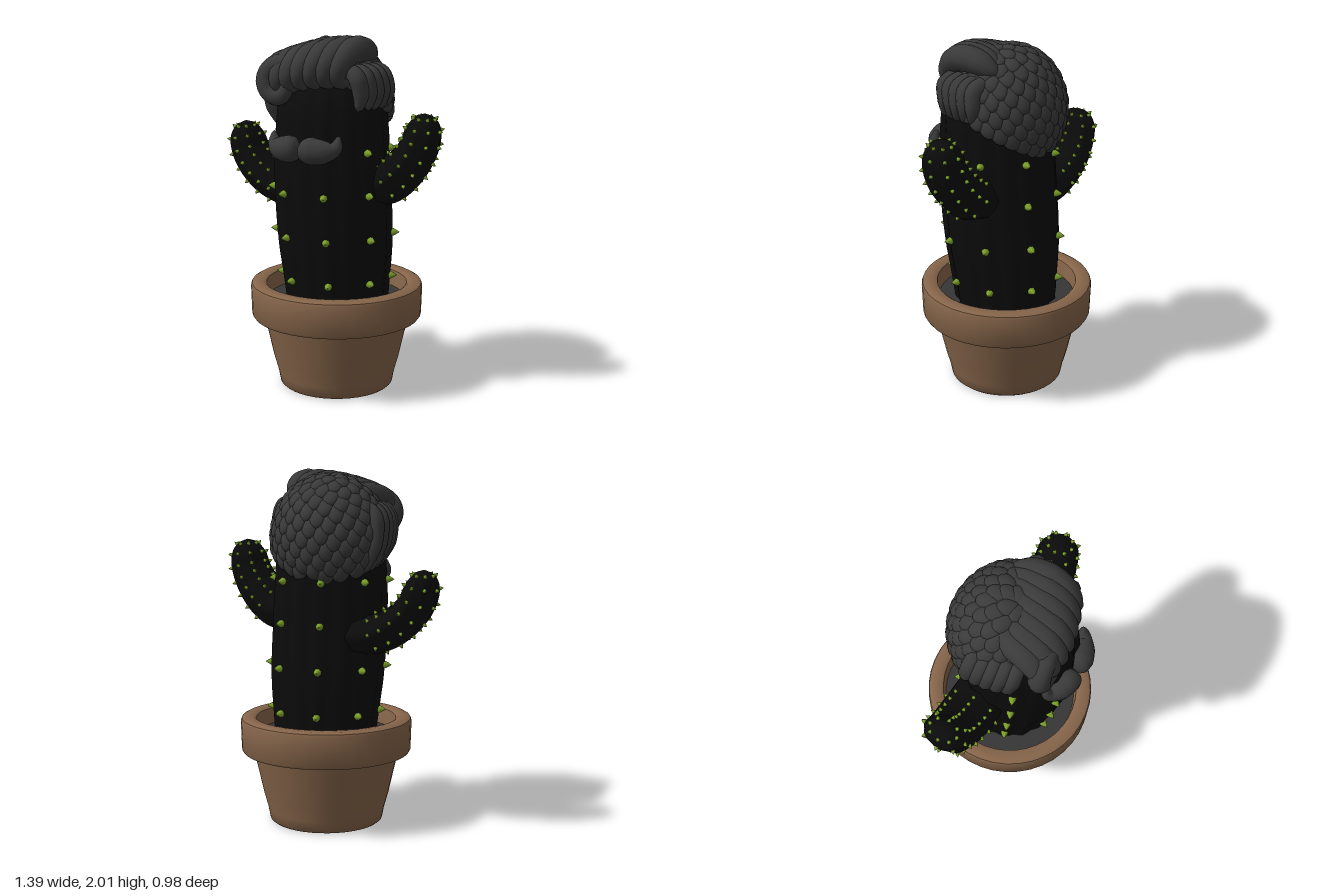
import * as THREE from 'three';
import { mergeGeometries, mergeVertices, toCreasedNormals } from 'three/addons/utils/BufferGeometryUtils.js';

const V = (x, y, z) => new THREE.Vector3(x, y, z);
const paint = (color) => new THREE.MeshStandardMaterial({ color });
const skin = paint(0x0b0b0b), hairMat = paint(0x3a3a3a), clay = paint(0x86654a);
const green = paint(0x7da32a), soilMat = paint(0x363636);
const CX = 0.04; // x of the trunk axis

function add(parent, name, geometry, material) {
  const mesh = new THREE.Mesh(geometry, material);
  mesh.name = name;
  parent.add(mesh);
  return mesh;
}

// Weld seams so that normals are smooth all round
function smooth(geometry) {
  geometry.deleteAttribute('uv');
  geometry.deleteAttribute('normal');
  const welded = mergeVertices(geometry, 1e-4);
  welded.computeVertexNormals();
  return welded;
}

// Piecewise linear interpolation of evenly spaced values
function ramp(values, t) {
  const f = t * (values.length - 1), i = Math.min(Math.floor(f), values.length - 2);
  return THREE.MathUtils.lerp(values[i], values[i + 1], f - i);
}

const lathe = (pairs, n) => new THREE.LatheGeometry(pairs.map(([r, y]) => new THREE.Vector2(r, y)), n);

// Tube with varying radius, round ends, optional ribs and z stretch
function sweep(points, radii, { segs = 20, sides = 10, cap0 = 0.12, cap1 = 0.12, ribs = 0, zScale = 1 } = {}) {
  const curve = new THREE.CatmullRomCurve3(points.map((p) => V(...p)));
  const geo = new THREE.TubeGeometry(curve, segs, 1, sides), pos = geo.attributes.position;
  for (let i = 0; i <= segs; i++) {
    const u = i / segs, c = curve.getPointAt(u);
    let r = ramp(radii, u);
    if (u < cap0) r *= Math.sqrt(1 - ((cap0 - u) / cap0) ** 2);
    if (u > 1 - cap1) r *= Math.sqrt(Math.max(0, 1 - ((u - 1 + cap1) / cap1) ** 2));
    for (let j = 0; j <= sides; j++) {
      const k = i * (sides + 1) + j;
      const d = V().fromBufferAttribute(pos, k).sub(c);
      d.multiplyScalar(r * (1 + (ribs ? 0.035 * Math.cos((j / sides) * ribs * Math.PI * 2) : 0)));
      pos.setXYZ(k, c.x + d.x, c.y + d.y, c.z + d.z * zScale);
    }
  }
  geo.computeVertexNormals();
  return geo;
}

// Small bulbous thorn pointing along a normal
const thorn = lathe([[0, -0.02], [0.022, -0.012], [0.022, 0.006], [0.012, 0.024], [0, 0.042]], 7);
function thornAt(p, normal, size) {
  const q = new THREE.Quaternion().setFromUnitVectors(V(0, 1, 0), normal);
  return thorn.clone().applyMatrix4(new THREE.Matrix4().compose(p, q, V(size, size, size)));
}

function buildPot(group) {
  const pot = new THREE.Group();
  pot.name = 'pot';
  pot.position.x = 0.035;
  group.add(pot);
  const shell = lathe([[0, 0], [0.31, 0], [0.324, 0.012], [0.335, 0.07], [0.36, 0.16], [0.415, 0.405], [0.475, 0.405],
    [0.485, 0.42], [0.49, 0.585], [0.484, 0.6], [0.465, 0.61], [0.415, 0.61], [0.4, 0.6], [0.385, 0.48]], 40);
  add(pot, 'potShell', toCreasedNormals(shell, 0.7), clay);
  const soil = add(pot, 'soil', new THREE.CircleGeometry(0.392, 40), soilMat);
  soil.rotation.x = -Math.PI / 2;
  soil.position.y = 0.51;
}

// Trunk leans gently forward with height
const trunkZ = (y) => ramp([0.0, 0.012, 0.03, 0.05, 0.06, 0.06, 0.055], THREE.MathUtils.clamp((y - 0.5) / 1.3, 0, 1));
const trunkR = (y) => ramp([0.285, 0.3, 0.316, 0.322, 0.322, 0.32, 0.312, 0.3], THREE.MathUtils.clamp((y - 0.5) / 1.1, 0, 1));

function buildTrunk(group, thorns) {
  const profile = [];
  for (let i = 0; i <= 22; i++) profile.push([trunkR(0.5 + i * 0.05), 0.5 + i * 0.05]);
  profile.push([0.28, 1.67], [0.245, 1.73], [0.19, 1.79], [0.11, 1.83], [0, 1.845]);
  const geo = lathe(profile, 64), p = geo.attributes.position;
  for (let i = 0; i < p.count; i++) {
    const x = p.getX(i), y = p.getY(i), z = p.getZ(i);
    const k = 1 + 0.025 * Math.cos(16 * Math.atan2(x, z));
    p.setXYZ(i, x * k + CX, y, z * k + trunkZ(y));
  }
  add(group, 'trunk', smooth(geo), skin);
  for (const y of [0.65, 0.905, 1.155, 1.39]) {
    for (let k = 0; k < 8; k++) {
      const a = (k + 0.5) * Math.PI / 4, n = V(Math.sin(a), 0, Math.cos(a));
      thorns.push(thornAt(n.clone().multiplyScalar(trunkR(y) + 0.006).add(V(CX, y, trunkZ(y))), n, 1));
    }
  }
}

function buildArm(group, name, points, radii, zScale, thorns) {
  const segs = 44, sides = 32;
  const geo = sweep(points, radii, { segs, sides, cap0: 0.02, cap1: 0.2, ribs: 8, zScale });
  const pos = geo.attributes.position, nor = geo.attributes.normal;
  for (const i of [13, 18, 23, 28, 33, 38, 42]) {
    for (let j = 0; j < sides; j += 4) {
      const k = i * (sides + 1) + j;
      thorns.push(thornAt(V().fromBufferAttribute(pos, k), V().fromBufferAttribute(nor, k).normalize(), 0.5));
    }
  }
  add(group, name, smooth(geo), skin);
}

function buildMoustache(group) {
  for (const s of [-1, 1]) {
    const path = [[0, 1.425, 0.385], [0.07, 1.412, 0.385], [0.14, 1.41, 0.365], [0.19, 1.43, 0.34], [0.205, 1.495, 0.325]];
    const geo = sweep(path.map(([x, y, z]) => [CX + s * x, y, z]), [0.058, 0.074, 0.066, 0.04, 0.008],
      { segs: 28, sides: 16, cap0: 0.15, cap1: 0.03 });
    add(group, s > 0 ? 'moustacheLeft' : 'moustacheRight', smooth(geo), hairMat);
  }
}

function buildHair(group) {
  const hair = new THREE.Group();
  hair.name = 'hair';
  group.add(hair);
  const centre = V(0.01, 1.62, 0.0), radii = V(0.315, 0.335, 0.28);
  const axis = V(-0.15, 0.86, -0.48).normalize();

  // Base cap, tilted back so the face stays free
  const cap = new THREE.SphereGeometry(1, 40, 20, 0, Math.PI * 2, 0, Math.PI * 0.52);
  cap.applyQuaternion(new THREE.Quaternion().setFromUnitVectors(V(0, 1, 0), axis));
  cap.scale(...radii.toArray()).translate(...centre.toArray());
  const capMesh = add(hair, 'hairCap', smooth(cap), hairMat);
  capMesh.material = hairMat.clone();
  capMesh.material.side = THREE.DoubleSide;

  // Overlapping tufts spread in a spiral, each lying down from the crown
  const tufts = [], total = 270, crown = V(0.05, 0.9, 0.4).normalize();
  for (let i = 0; i < total; i++) {
    const y = 1 - (2 * i + 1) / total, r = Math.sqrt(1 - y * y), a = i * 2.39996;
    const d = V(r * Math.cos(a), y, r * Math.sin(a));
    if (d.dot(axis) < -0.04) continue;
    const n = d.clone().divide(radii).normalize();
    const down = crown.clone().multiplyScalar(-1).addScaledVector(n, crown.dot(n)).normalize();
    const out = n.clone().addScaledVector(down, -0.22).normalize();
    const along = down.addScaledVector(out, -down.dot(out)).normalize();
    const m = new THREE.Matrix4().makeBasis(V().crossVectors(along, out), along, out);
    m.setPosition(d.multiply(radii).add(centre));
    tufts.push(new THREE.SphereGeometry(1, 12, 8).scale(0.052, 0.07, 0.034).applyMatrix4(m));
  }
  add(hair, 'tufts', mergeGeometries(tufts), hairMat);

  // Quiff: strands swept forward and rolled under, larger to one side
  for (let i = 0; i < 7; i++) {
    const t = i / 6, x = 0.22 - 0.4 * t, drop = 0.07 * t * t, fwd = 0.07 * Math.sin(t * 2.4);
    add(hair, 'quiffStrand', smooth(sweep([
      [x * 0.6 + 0.08, 1.87, -0.1], [x * 0.9 + 0.03, 1.93 - drop, 0.07],
      [x, 1.915 - drop, 0.19 + fwd], [x - 0.02, 1.84 - drop, 0.265 + fwd],
      [x - 0.02, 1.77 - drop, 0.25 + fwd], [x + 0.02, 1.755 - drop, 0.19 + fwd],
    ], [0.03, 0.065, 0.075, 0.068, 0.05, 0.02], { segs: 24, sides: 12 })), hairMat);
  }
  // Curl at the end of the quiff
  const curl = [];
  for (let i = 0; i <= 9; i++) {
    const a = 0.6 + i * 0.75, r = 0.125 - i * 0.011;
    curl.push([-0.13 + r * Math.cos(a), 1.745 + r * Math.sin(a), 0.3 + 0.004 * i]);
  }
  add(hair, 'quiffCurl', smooth(sweep(curl, [0.03, 0.055, 0.06, 0.05, 0.03], { segs: 50, sides: 12 })), hairMat);

  // Combed side locks: short on the left, long on the right
  for (let i = 0; i < 5; i++) {
    const z = 0.19 - i * 0.055, w = Math.sqrt(1 - (z / 0.4) ** 2);
    add(hair, 'leftSideLock', smooth(sweep([[0.22, 1.83, z], [0.3 * w + 0.02, 1.79, z + 0.02], [0.33 * w + 0.012, 1.7, z + 0.01],
      [0.31 * w + 0.02, 1.61, z + 0.02]], [0.04, 0.05, 0.045, 0.02], { sides: 10 })), hairMat);
    add(hair, 'rightSideLock', smooth(sweep([[-0.2, 1.81, z], [-0.29 * w, 1.76, z], [-0.315 * w, 1.63, z - 0.02],
      [-0.27 * w, 1.48 - 0.01 * i, z - 0.06]], [0.04, 0.05, 0.045, 0.02], { sides: 10 })), hairMat);
  }
}

export function createModel() {
  const group = new THREE.Group();
  group.name = 'pottedCactus';
  const thorns = [];
  buildPot(group);
  buildTrunk(group, thorns);
  buildArm(group, 'rightArm', [[-0.15, 1.09, -0.03], [-0.32, 1.11, -0.03], [-0.46, 1.18, -0.03], [-0.56, 1.285, -0.03],
    [-0.595, 1.38, -0.03], [-0.605, 1.475, -0.03]], [0.1, 0.105, 0.105, 0.1, 0.09, 0.085], 1.42, thorns);
  buildArm(group, 'leftArm', [[0.22, 1.19, -0.005], [0.36, 1.215, -0.005], [0.47, 1.3, -0.005], [0.545, 1.41, -0.005],
    [0.57, 1.5, -0.005], [0.58, 1.6, -0.005]], [0.12, 0.125, 0.12, 0.11, 0.1, 0.09], 1.14, thorns);
  add(group, 'thorns', mergeGeometries(thorns), green);
  buildMoustache(group);
  buildHair(group);
  return group;
}
